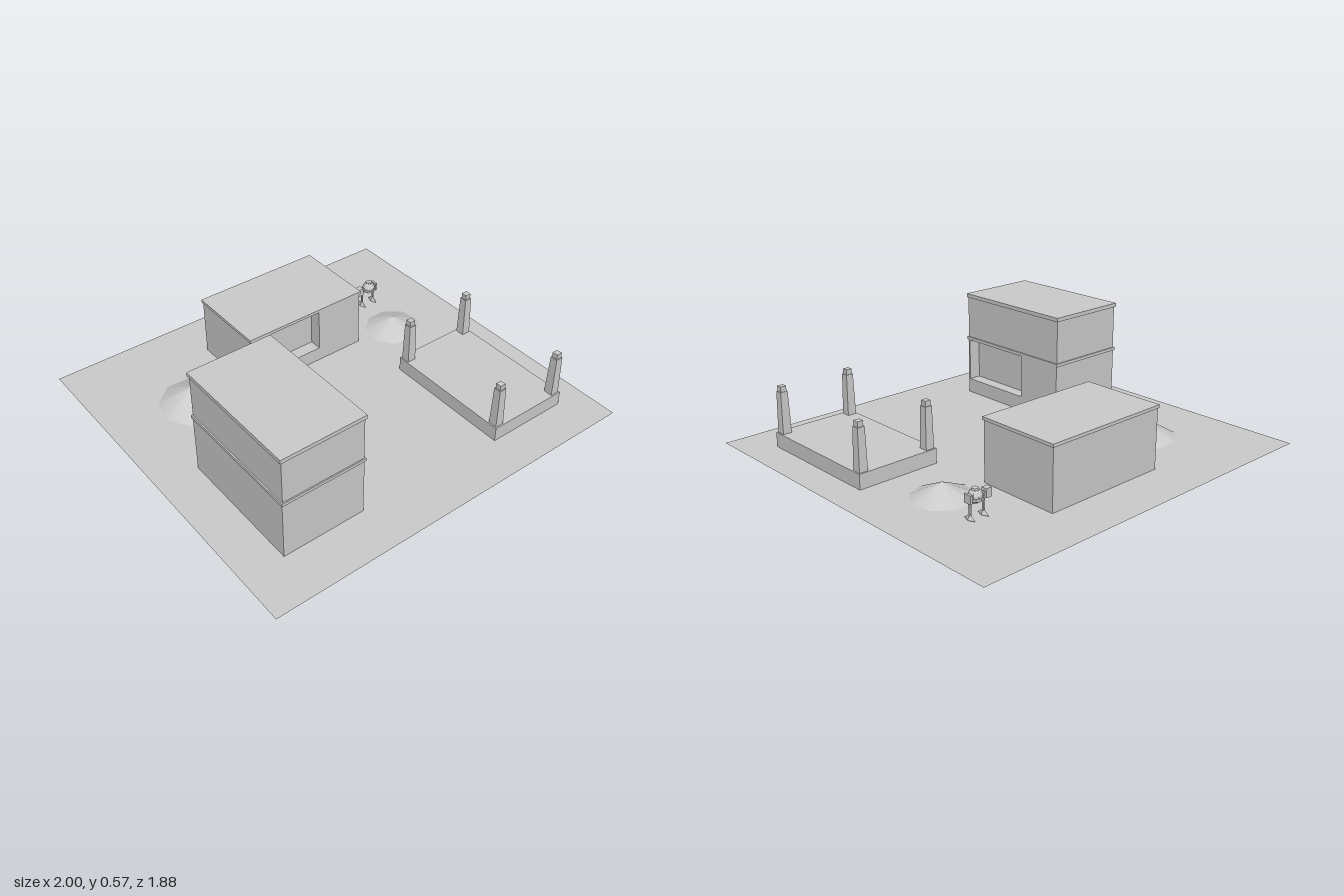
import * as THREE from 'three';

const mat = new THREE.MeshStandardMaterial({ color: 0xcccccc, flatShading: true });
const smooth = new THREE.MeshStandardMaterial({ color: 0xcccccc });
const sheet = new THREE.MeshStandardMaterial({ color: 0xcccccc, side: THREE.DoubleSide });
const GROUND = 0.01;

function add(parent, name, geometry, x, y, z, material = mat) {
  const mesh = new THREE.Mesh(geometry, material);
  mesh.name = name;
  mesh.position.set(x, y, z);
  parent.add(mesh);
  return mesh;
}

// Box given by its base height
function box(parent, name, w, h, d, x, y0, z) {
  return add(parent, name, new THREE.BoxGeometry(w, h, d), x, y0 + h / 2, z);
}

function group(parent, name, x, y, z) {
  const g = new THREE.Group();
  g.name = name;
  g.position.set(x, y, z);
  parent.add(g);
  return g;
}

// Shop with a recessed display window in its front (+z) wall
function shop(parent, name, x, z) {
  const g = group(parent, name, x, GROUND, z);
  const w = 0.668, d = 0.425, h = 0.3, recess = 0.065;
  box(g, 'rearBody', w, h, d - recess, 0, 0, -recess / 2);

  const wall = new THREE.Shape();
  wall.moveTo(-w / 2, 0).lineTo(w / 2, 0).lineTo(w / 2, h).lineTo(-w / 2, h).closePath();
  const hole = new THREE.Path();
  hole.moveTo(-0.323, 0.075).lineTo(-0.323, 0.297).lineTo(0.077, 0.297).lineTo(0.077, 0.075).closePath();
  wall.holes.push(hole);
  const front = new THREE.ExtrudeGeometry(wall, { depth: recess, bevelEnabled: false });
  add(g, 'windowWall', front, 0, 0, d / 2 - recess);

  box(g, 'roofSlab', 0.68, 0.016, 0.434, 0, h, 0);
  return g;
}

// Tapered post with a small cap
function post(parent, x, y, z) {
  const g = group(parent, 'cornerPost', x, y, z);
  const shaft = new THREE.CylinderGeometry(0.019 * Math.SQRT2, 0.023 * Math.SQRT2, 0.21, 4);
  shaft.rotateY(Math.PI / 4);
  add(g, 'shaft', shaft, 0, 0.105, 0);
  box(g, 'cap', 0.03, 0.027, 0.03, 0, 0.21, 0);
}

export function createModel() {
  const root = new THREE.Group();
  root.name = 'settlement';

  // Ground sheet
  const ground = new THREE.PlaneGeometry(2, 1.88).rotateX(-Math.PI / 2);
  add(root, 'ground', ground, 0, GROUND, 0, sheet);

  // Single-storey shop, and a two-storey one turned to face +x
  shop(root, 'lowShop', 0.055, -0.475);
  const tall = shop(root, 'tallShop', -0.575, 0.365);
  tall.rotation.y = Math.PI / 2;
  box(tall, 'upperStorey', 0.668, 0.22, 0.42, 0, 0.316, 0);
  box(tall, 'upperRoofSlab', 0.68, 0.02, 0.434, 0, 0.535, 0);

  // Unfinished building: foundation and four posts
  const site = group(root, 'buildingSite', 0.623, GROUND, 0.39);
  box(site, 'foundation', 0.434, 0.075, 0.68, 0, 0, 0);
  for (const sx of [-1, 1])
    for (const sz of [-1, 1]) post(site, sx * 0.187, 0.075, sz * 0.309);

  // Pair of lidded crates
  for (const z of [-0.002, -0.129]) {
    const crate = group(root, 'crate', -0.49, GROUND, z);
    box(crate, 'crateBase', 0.338, 0.055, 0.108, 0, 0, 0);
    box(crate, 'crateLid', 0.35, 0.05, 0.12, 0, 0.055, 0);
  }

  // Earth mounds, the left one tipped slightly
  add(root, 'rightMound', new THREE.ConeGeometry(0.172, 0.08, 9), 0.615, 0.04, -0.245, smooth);
  const mound = add(root, 'leftMound', new THREE.ConeGeometry(0.19, 0.09, 8), -0.56, 0.057, -0.38, smooth);
  mound.rotation.set(-0.05, 0.25, 0.06);

  // Small round machine on two legs with side pods
  const machine = group(root, 'machine', 0.652, GROUND, -0.5);
  add(machine, 'body', new THREE.SphereGeometry(0.034, 10, 7), 0, 0.104, 0);
  add(machine, 'band', new THREE.CylinderGeometry(0.038, 0.038, 0.012, 10), 0, 0.095, 0);
  add(machine, 'hatch', new THREE.CylinderGeometry(0.016, 0.02, 0.014, 8), 0, 0.134, 0);
  box(machine, 'arm', 0.045, 0.01, 0.01, -0.04, 0.1, 0);
  box(machine, 'sidePod', 0.03, 0.042, 0.03, -0.064, 0.081, 0);
  box(machine, 'sidePlate', 0.012, 0.04, 0.04, 0.038, 0.081, 0);
  for (const x of [-0.045, 0.03]) {
    box(machine, 'leg', 0.008, 0.07, 0.01, x, 0.02, 0);
    const foot = new THREE.CylinderGeometry(0.003, 0.034, 0.026, 4);
    foot.scale(0.4, 1, 1);
    add(machine, 'foot', foot, x, 0.018, 0);
  }

  return root;
}
